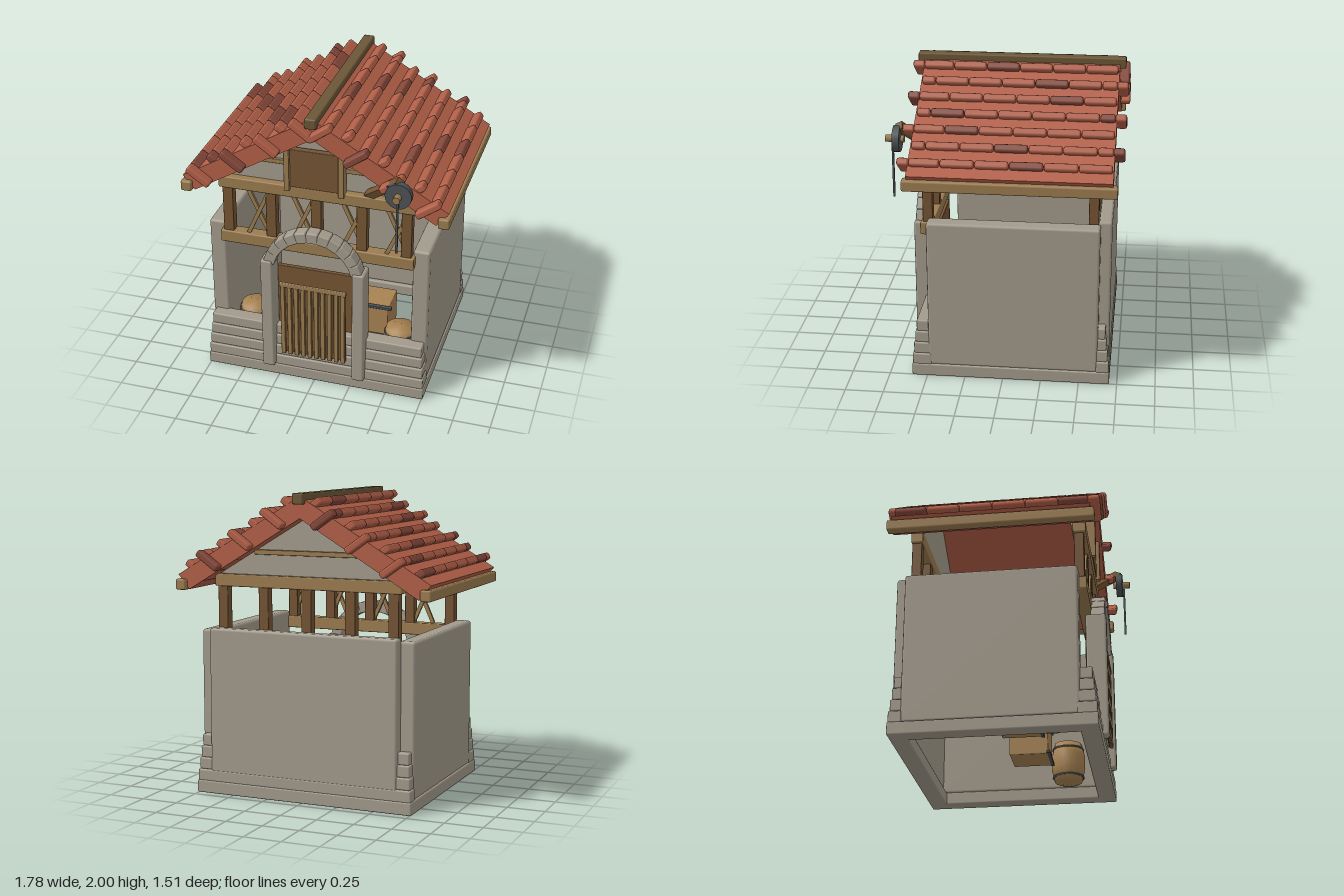
import * as THREE from 'three';
import { RoundedBoxGeometry } from 'three/addons/geometries/RoundedBoxGeometry.js';

const paint = (name, color) => {
  const m = new THREE.MeshStandardMaterial({ color });
  m.name = name;
  return m;
};

export function createModel() {
  const model = new THREE.Group();
  model.name = 'tiledGateHouse';
  const stone = paint('stone', 0xa39b8c);
  const wood = paint('light wood', 0x9c7c50);
  const darkWood = paint('dark wood', 0x755433);
  const ridgeWood = paint('ridge wood', 0x6b5636);
  const clay = paint('clay', 0xb25f47);
  const darkClay = paint('dark clay', 0x85483a);
  const iron = paint('iron', 0x4d5256);
  const crateWood = paint('crate wood', 0xa88352);

  const add = (name, geo, mat, x = 0, y = 0, z = 0) => {
    const m = new THREE.Mesh(geo, mat);
    m.name = name;
    m.position.set(x, y, z);
    model.add(m);
    return m;
  };
  // Softened block given by its extents along each axis
  const block = (name, mat, x0, x1, y0, y1, z0, z1, r = 0.01) => {
    const w = x1 - x0, h = y1 - y0, d = z1 - z0;
    const geo = new RoundedBoxGeometry(w, h, d, 1, Math.min(r, w / 3, h / 3, d / 3));
    return add(name, geo, mat, (x0 + x1) / 2, (y0 + y1) / 2, (z0 + z1) / 2);
  };
  // Square bar between two points
  const bar = (name, mat, a, b, w, d = w) => {
    const p = new THREE.Vector3(...a), q = new THREE.Vector3(...b);
    const m = add(name, new THREE.BoxGeometry(w, p.distanceTo(q), d), mat);
    m.position.copy(p).add(q).multiplyScalar(0.5);
    m.quaternion.setFromUnitVectors(new THREE.Vector3(0, 1, 0), q.sub(p).normalize());
    return m;
  };
  const extrude = (name, mat, pts, z0, z1) => {
    const shape = new THREE.Shape(pts.map(([x, y]) => new THREE.Vector2(x, y)));
    return add(name, new THREE.ExtrudeGeometry(shape, { depth: z1 - z0, bevelEnabled: false }), mat, 0, 0, z0);
  };

  // Open foundation frame
  block('foundationFront', stone, -0.76, 0.76, 0, 0.085, 0.48, 0.6);
  block('foundationBack', stone, -0.76, 0.76, 0, 0.085, -0.7, -0.58);
  for (const s of [-1, 1]) {
    const x = s * 0.7;
    block('foundationSide', stone, x - 0.06, x + 0.06, 0, 0.085, -0.69, 0.59);
    block('sideWall', stone, s * 0.695 - 0.057, s * 0.695 + 0.057, 0.08, 1.09, -0.62, 0.49, 0.018);
  }
  block('backWall', stone, -0.66, 0.66, 0.08, 1.11, -0.692, -0.605, 0.018);

  // Stepped stone courses at the front and back
  for (let i = 0; i < 4; i++) {
    const y = 0.08 + i * 0.078, hx = 0.755 - i * 0.007;
    block('frontCourse', stone, -hx, hx, y, y + 0.078, 0.47, 0.595 - i * 0.009);
    block('backCourse', stone, -hx, hx, y, y + 0.078, -0.695 + i * 0.009, -0.61);
  }

  // Gateway: pillars, arch stones, panel and slatted gate
  for (const s of [-1, 1])
    block('gatePillar', stone, s * 0.313 - 0.043, s * 0.313 + 0.043, 0.085, 0.93, 0.5, 0.635, 0.016);
  const stones = 11, a0 = 0.22, step = (Math.PI - 2 * a0) / stones;
  for (let i = 0; i < stones; i++) {
    const a = a0 + (i + 0.5) * step, r = 0.3;
    const m = add('archStone', new RoundedBoxGeometry(0.076, r * step * 1.1, 0.095, 1, 0.01), stone,
      r * 1.01 * Math.cos(a), 0.85 + r * Math.sin(a) * 0.98, 0.578);
    m.rotation.z = a;
  }
  block('doorPanel', darkWood, -0.27, 0.27, 0.18, 0.84, 0.49, 0.52, 0.004);
  block('gateBacking', darkWood, -0.225, 0.225, 0.21, 0.76, 0.592, 0.604, 0.003);
  for (let i = 0; i < 10; i++) {
    const x = -0.207 + i * 0.046;
    block('gateSlat', wood, x - 0.015, x + 0.015, 0.2, 0.75, 0.6, 0.622, 0.005);
  }
  block('gateRail', wood, -0.23, 0.23, 0.738, 0.768, 0.6, 0.625, 0.006);

  // Timber storey
  block('lowerBeam', wood, -0.655, 0.655, 0.97, 1.055, 0.455, 0.54, 0.008);
  block('frontTopBeam', wood, -0.655, 0.655, 1.38, 1.462, 0.455, 0.54, 0.008);
  block('backTopBeam', wood, -0.655, 0.655, 1.38, 1.462, -0.61, -0.53, 0.008);
  for (const x of [-0.6, -0.305, 0, 0.305, 0.6]) {
    block('frontPost', darkWood, x - 0.035, x + 0.035, 1.04, 1.39, 0.46, 0.525, 0.006);
    block('backPost', darkWood, x - 0.035, x + 0.035, 1.05, 1.39, -0.605, -0.54, 0.006);
  }
  for (const x of [-0.395, -0.09, 0.245, 0.54])
    for (const s of [-1, 1])
      bar('crossBrace', wood, [x - s * 0.07, 1.055, 0.5 + s * 0.008], [x + s * 0.07, 1.37, 0.5 + s * 0.008], 0.026, 0.02);

  // Gables with collar beams
  const gable = [[-0.62, 1.45], [0.62, 1.45], [0.62, 1.47], [0, 1.845], [-0.62, 1.47]];
  extrude('frontGable', stone, gable, 0.44, 0.49);
  extrude('backGable', stone, gable, -0.58, -0.53);
  block('frontCollar', wood, -0.37, 0.37, 1.595, 1.627, 0.485, 0.51, 0.004);
  block('backCollar', wood, -0.37, 0.37, 1.595, 1.627, -0.6, -0.575, 0.004);

  // Loft shutter
  block('loftShutter', darkWood, -0.175, 0.175, 1.462, 1.73, 0.5, 0.545, 0.004);
  for (const s of [-1, 1])
    block('shutterJamb', wood, s * 0.18 - 0.018, s * 0.18 + 0.018, 1.44, 1.765, 0.5, 0.57, 0.006);

  // Roof slab, eave rails and ridge
  extrude('roofSlab', clay, [
    [0, 1.84], [0.8, 1.36], [0.88, 1.455], [0, 1.98], [-0.88, 1.455], [-0.8, 1.36],
  ], -0.695, 0.585);
  for (const s of [-1, 1])
    block('eaveRail', wood, s * 0.852 - 0.037, s * 0.852 + 0.037, 1.355, 1.427, -0.725, 0.615, 0.012);
  block('ridgeBeam', ridgeWood, -0.038, 0.038, 1.93, 2, -0.735, 0.63, 0.01);

  // Tile ribs tilted across the slope, with alternating overhanging end tiles
  const tile = (s, i, z0, z1, mat, name) => {
    const m = add(name, new RoundedBoxGeometry(0.18, 0.05, z1 - z0 - 0.004, 1, 0.015), mat,
      s * (0.755 - i * 0.1157), 1.485 + i * 0.0706, (z0 + z1) / 2);
    m.rotation.z = s * 0.62;
  };
  for (const s of [-1, 1]) {
    for (let i = 0; i < 7; i++) {
      const shift = i % 2 ? 0.11 : 0;
      const cuts = [-0.69];
      for (let z = -0.48 - shift; z < 0.5; z += 0.215) cuts.push(z);
      cuts.push(0.575);
      for (let k = 0; k < cuts.length - 1; k++)
        tile(s, i, cuts[k], cuts[k + 1], (k * 2 + i * 3 + (s > 0 ? 1 : 0)) % 5 === 0 ? darkClay : clay, 'ribTile');
      const end = (i + (s > 0 ? 1 : 0)) % 3 === 2 ? darkClay : clay;
      if (i % 2) tile(s, i, -0.76, -0.685, end, 'backEndTile');
      else tile(s, i, 0.57, 0.65, end, 'frontEndTile');
    }
  }

  // Hoist: brace, wheel, axle and rope
  bar('hoistBrace', darkWood, [0.34, 1.46, 0.5], [0.585, 1.68, 0.67], 0.05);
  const wheel = add('hoistWheel', new THREE.CylinderGeometry(0.085, 0.085, 0.045, 20), iron, 0.583, 1.595, 0.682);
  const axle = add('hoistAxle', new THREE.CylinderGeometry(0.024, 0.024, 0.12, 10), wood, 0.583, 1.595, 0.697);
  wheel.rotation.x = axle.rotation.x = Math.PI / 2;
  bar('hoistRope', iron, [0.583, 1.2, 0.713], [0.583, 1.56, 0.713], 0.013);

  // Stored crates and barrels
  const barrelProfile = [[0, 0], [0.095, 0], [0.115, 0.09], [0.115, 0.18], [0.095, 0.27], [0, 0.27]]
    .map(([x, y]) => new THREE.Vector2(x, y));
  for (const s of [-1, 1]) {
    const x = s * 0.28;
    block('crate', crateWood, x - 0.125, x + 0.125, 0.165, 0.392, -0.07, 0.19, 0.008);
    block('crateTopBand', iron, x - 0.15, x + 0.15, 0.39, 0.41, 0.17, 0.2, 0.004);
    block('crateBottomBand', iron, x - 0.14, x + 0.14, 0.165, 0.185, 0.18, 0.205, 0.004);
    add('barrel', new THREE.LatheGeometry(barrelProfile, 14), crateWood, s * 0.52, 0.08, 0.29);
    for (const y of [0.11, 0.31]) {
      const hoop = add('barrelHoop', new THREE.TorusGeometry(0.104, 0.007, 5, 16), iron, s * 0.52, y, 0.29);
      hoop.rotation.x = Math.PI / 2;
    }
  }
  return model;
}
